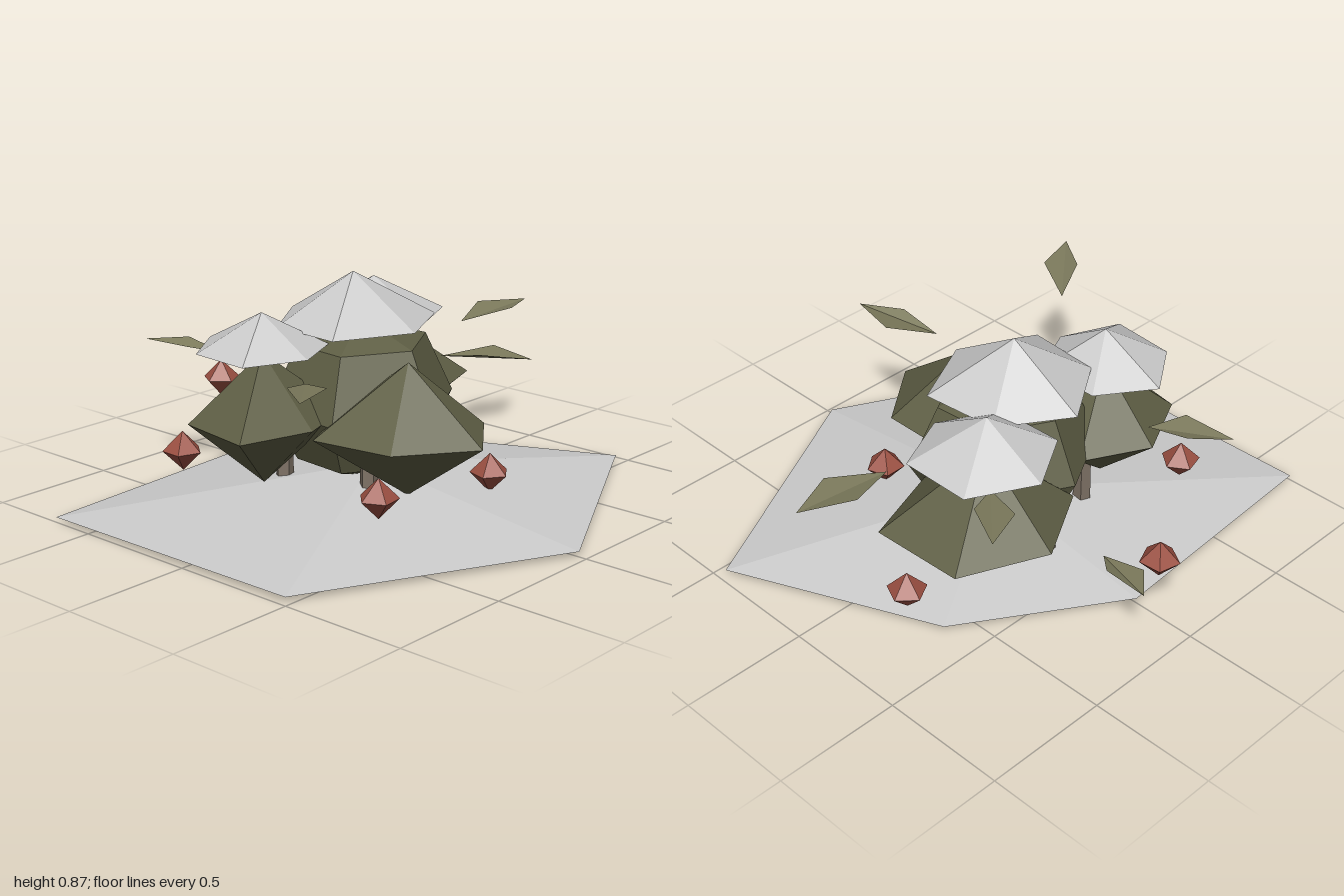
import * as THREE from 'three';

const mat = (color, side = THREE.FrontSide) => new THREE.MeshStandardMaterial({ color, side, flatShading: true });
const snowMat = mat(0xcccccc, THREE.DoubleSide);
const bushMat = mat(0x5f5f45);
const leafMat = mat(0x7c7a5c, THREE.DoubleSide);
const berryMat = mat(0x9c5042);
const trunkMat = mat(0x7d7164);

// Faceted skin: a top point, rings of corners going down, an optional bottom point
function facets(top, rings, bottom) {
  const out = [];
  const tri = (a, b, c) => out.push(...a, ...b, ...c);
  const n = rings[0].length;
  for (let i = 0; i < n; i++) {
    const j = (i + 1) % n;
    tri(top, rings[0][j], rings[0][i]);
    for (let r = 0; r + 1 < rings.length; r++) {
      const [u, l] = [rings[r], rings[r + 1]];
      tri(u[i], u[j], l[i]);
      tri(u[j], l[j], l[i]);
    }
    const last = rings[rings.length - 1];
    if (bottom) tri(bottom, last[i], last[j]);
  }
  const geo = new THREE.BufferGeometry();
  geo.setAttribute('position', new THREE.Float32BufferAttribute(out, 3));
  geo.computeVertexNormals();
  return geo;
}

const ringAt = (pts, y) => pts.map(([x, z]) => [x, y, z]);
const scaled = (pts, cx, cz, s) => pts.map(([x, z]) => [cx + (x - cx) * s, cz + (z - cz) * s]);

export function createModel() {
  const group = new THREE.Group();
  const add = (name, geo, material) => {
    const mesh = new THREE.Mesh(geo, material);
    mesh.name = name;
    group.add(mesh);
    return mesh;
  };

  // Low snow mound, open underneath
  const mound = [[0.97, 0], [0.48, 0.98], [-0.68, 1], [-0.74, 0], [-0.35, -0.61], [0.46, -0.97]];
  add('snowMound', facets([0, 0.135, 0], [ringAt(mound, 0.02)]), snowMat);

  // Stems
  for (const [x, z] of [[0.12, 0.16], [-0.065, -0.26], [-0.235, 0.245], [-0.335, -0.055]]) {
    add('stem', new THREE.CylinderGeometry(0.032, 0.037, 0.42, 5), trunkMat).position.set(x, 0.21, z);
  }

  // Central clump, rounded by extra rings
  const mid = [[0.3, 0], [0.1, 0.34], [-0.25, 0.31], [-0.42, 0], [-0.25, -0.32], [0.1, -0.35]];
  const inner = scaled(mid, -0.06, 0, 0.7);
  add('centreBush', facets([-0.06, 0.7, 0],
    [ringAt(inner, 0.61), ringAt(mid, 0.37), ringAt(inner, 0.16)], [-0.06, 0.07, 0]), bushMat);

  // Outer clumps: two pyramids joined at a six-sided girdle
  const clumps = [
    { name: 'leftBush', c: [0.26, 0.1], y: [0.6, 0.34, 0.09],
      ring: [[0.61, 0.1], [0.41, 0.37], [0.08, 0.42], [-0.08, 0.1], [0.1, -0.16], [0.41, -0.16]] },
    { name: 'frontBush', c: [-0.19, 0.4], y: [0.62, 0.37, 0.115],
      ring: [[0.07, 0.41], [-0.01, 0.7], [-0.33, 0.65], [-0.465, 0.38], [-0.33, 0.12], [-0.03, 0.13]] },
    { name: 'rightBush', c: [-0.28, -0.32], y: [0.63, 0.34, 0.07],
      ring: [[0.04, -0.33], [-0.1, -0.03], [-0.43, -0.02], [-0.605, -0.32], [-0.46, -0.655], [-0.08, -0.67]] },
  ];
  for (const { name, c: [x, z], y, ring } of clumps) {
    add(name, facets([x, y[0], z], [ringAt(ring, y[1])], [x, y[2], z]), bushMat);
  }

  // Snow caps, open underneath
  const caps = [
    { c: [-0.1, 0], y: [0.87, 0.68],
      ring: [[0.205, 0], [0.06, 0.29], [-0.24, 0.27], [-0.42, 0], [-0.25, -0.26], [0.06, -0.29]] },
    { c: [-0.19, 0.4], y: [0.77, 0.63],
      ring: [[0.04, 0.4], [-0.06, 0.63], [-0.32, 0.61], [-0.465, 0.4], [-0.32, 0.19], [-0.06, 0.18]] },
    { c: [-0.28, -0.32], y: [0.77, 0.62],
      ring: [[-0.02, -0.33], [-0.14, -0.1], [-0.41, -0.09], [-0.55, -0.32], [-0.42, -0.57], [-0.13, -0.57]] },
  ];
  for (const { c: [x, z], y, ring } of caps) {
    add('snowCap', facets([x, y[0], z], [ringAt(ring, y[1])]), snowMat);
  }

  // Loose leaves: two corners of a spine, with raised sides
  const leaves = [
    [[-0.06, 0.565, -0.6], [-0.04, 0.59, -1], [-0.14, -0.81], [0.035, -0.81]],
    [[-0.4, 0.57, -0.42], [-0.63, 0.585, -0.64], [-0.58, -0.48], [-0.46, -0.56]],
    [[-0.7, 0.29, -0.15], [-0.97, 0.32, -0.24], [-0.88, -0.14], [-0.79, -0.235]],
    [[0.38, 0.64, 0.065], [0.72, 0.67, -0.03], [0.51, -0.08], [0.56, 0.06]],
    [[-0.51, 0.535, 0.29], [-0.81, 0.565, 0.42], [-0.69, 0.3], [-0.59, 0.41]],
    [[0.24, 0.63, 0.62], [0.48, 0.67, 0.9], [0.425, 0.71], [0.32, 0.795]],
  ];
  for (const [base, tip, a, b] of leaves) {
    const y = (base[1] + tip[1]) / 2 + 0.02;
    const [A, B] = ringAt([a, b], y);
    const geo = new THREE.BufferGeometry();
    geo.setAttribute('position', new THREE.Float32BufferAttribute([base, tip, A, tip, base, B].flat(), 3));
    // Keep the spine triangles facing up
    geo.computeVertexNormals();
    if (geo.attributes.normal.getY(0) < 0) {
      geo.setIndex([0, 2, 1, 3, 5, 4]);
      geo.computeVertexNormals();
    }
    add('leaf', geo, leafMat);
  }

  // Berries
  const berries = [[-0.86, 0.3, -0.03], [-0.46, 0.22, 0.56], [0.38, 0.185, 0.4], [0.41, 0.135, -0.2], [-0.23, 0.165, -0.675]];
  berries.forEach(([x, y, z], i) => {
    const berry = add('berry', new THREE.SphereGeometry(0.077, 5, 2), berryMat);
    berry.position.set(x, y, z);
    berry.rotation.y = 0.4 + i * 0.5;
  });

  return group;
}
